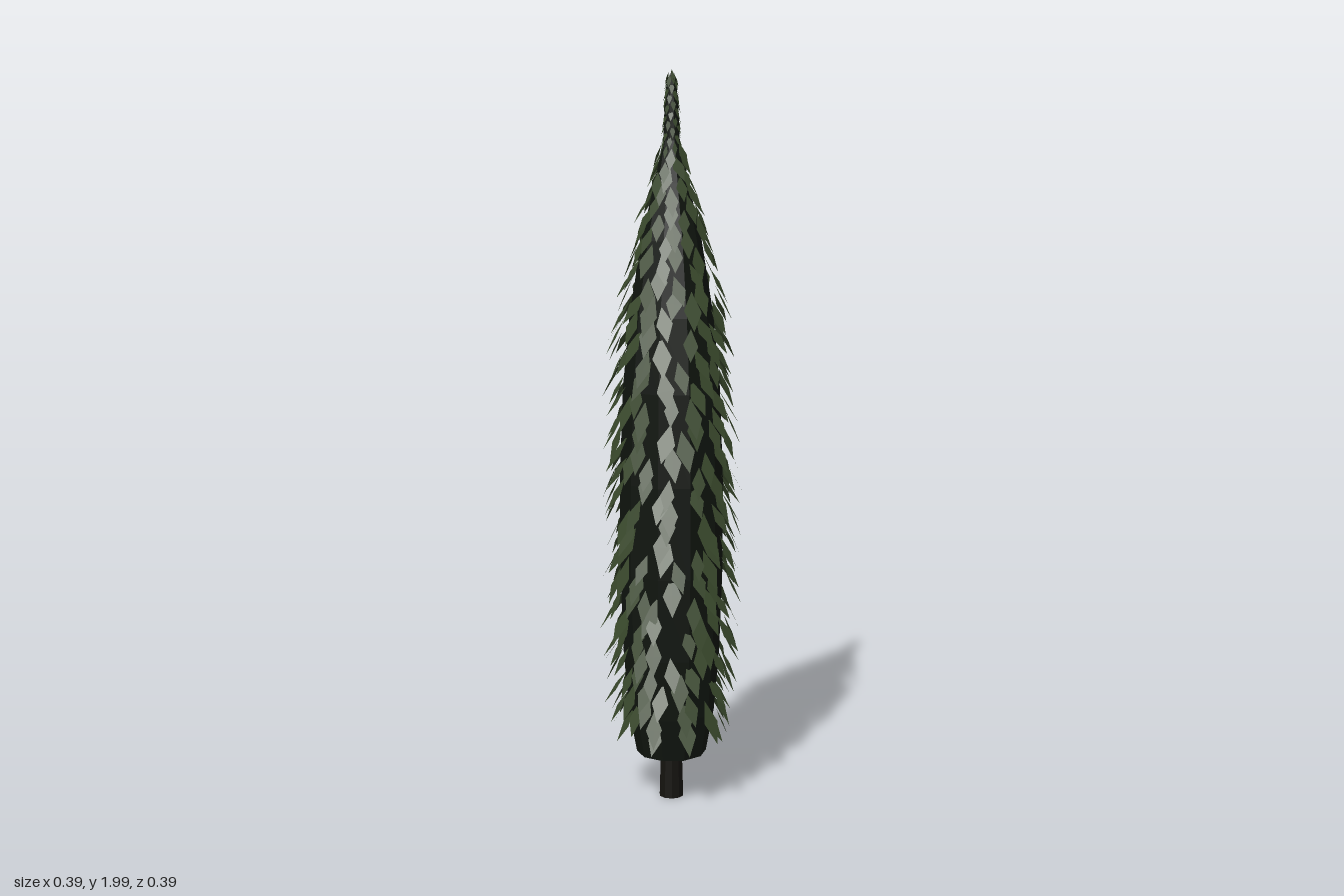
import * as THREE from 'three';
import { mergeGeometries } from 'three/addons/utils/BufferGeometryUtils.js';

// Core silhouette: [radius, height]
const PROFILE = [
  [0, 0.13], [0.096, 0.13], [0.118, 0.25], [0.132, 0.42], [0.14, 0.65], [0.14, 0.9],
  [0.131, 1.15], [0.112, 1.35], [0.08, 1.55], [0.045, 1.7], [0.022, 1.81], [0.018, 1.9], [0.012, 1.97], [0, 1.985],
];

function seeded(seed) {
  return () => (seed = (seed * 16807) % 2147483647) / 2147483647;
}

function coreRadius(y) {
  for (let i = 2; i < PROFILE.length; i++) {
    const [r0, y0] = PROFILE[i - 1], [r1, y1] = PROFILE[i];
    if (y <= y1) return r0 + (r1 - r0) * Math.max(0, (y - y0) / (y1 - y0));
  }
  return 0;
}

// Split faces apart so every facet has its own flat normal
function faceted(geometry) {
  const g = geometry.toNonIndexed();
  g.computeVertexNormals();
  return g;
}

// One drooping diamond leaf placed on the crown
function leaf(angle, radius, y, width, length, tilt, yaw) {
  const g = new THREE.CircleGeometry(1, 4);
  g.scale(width / 2, length / 2, 1);
  g.rotateZ(yaw);
  g.rotateX(-tilt);
  g.translate(0, y, radius);
  g.rotateY(angle);
  return g;
}

export function createModel() {
  const tree = new THREE.Group();
  tree.name = 'cypressTree';

  const bark = new THREE.MeshStandardMaterial({ color: 0x15130f });
  bark.name = 'dark bark';
  const shade = new THREE.MeshStandardMaterial({ color: 0x10150f });
  shade.name = 'inner foliage';
  const green = new THREE.MeshStandardMaterial({ color: 0x37462a, side: THREE.DoubleSide });
  green.name = 'leaf green';

  const add = (name, geometry, material) => {
    const mesh = new THREE.Mesh(geometry, material);
    mesh.name = name;
    tree.add(mesh);
  };

  // Trunk
  const trunk = new THREE.CylinderGeometry(0.028, 0.034, 0.2, 10);
  trunk.translate(0, 0.1, 0);
  add('trunk', faceted(trunk), bark);

  // Dense dark crown under the leaves
  const core = new THREE.LatheGeometry(PROFILE.map(([r, y]) => new THREE.Vector2(r, y)), 10);
  core.rotateY(Math.PI / 10);
  add('crownCore', faceted(core), shade);

  // Leaves in a golden-angle spiral, smaller toward the tip
  const rand = seeded(7321);
  const leaves = [];
  const count = 390;
  for (let i = 0; i < count; i++) {
    const y = 0.2 + 1.58 * Math.pow((i + 0.5) / count, 1.03);
    const r = coreRadius(y);
    const size = (0.55 + 0.45 * Math.min(1, r / 0.11)) * (0.85 + 0.3 * rand());
    const angle = i * 2.39996 + (rand() - 0.5) * 0.5;
    leaves.push(leaf(angle, r + (0.012 + 0.022 * rand()) * Math.min(1, r / 0.1), y,
      0.045 * size, 0.105 * size, 0.38 + 0.2 * rand(), (rand() - 0.5) * 0.5));
  }
  add('leaves', mergeGeometries(leaves), green);

  // Tiny upright scales on the spire
  const scales = [];
  for (let i = 0; i < 60; i++) {
    const y = 1.78 + 0.2 * i / 60;
    scales.push(leaf(i * 2.39996, coreRadius(y) + 0.001, y, 0.014, 0.036, 0.22 + 0.15 * rand(), 0));
  }
  add('spireScales', mergeGeometries(scales), shade.clone());
  const spire = tree.children[tree.children.length - 1];
  spire.material = green;

  return tree;
}
